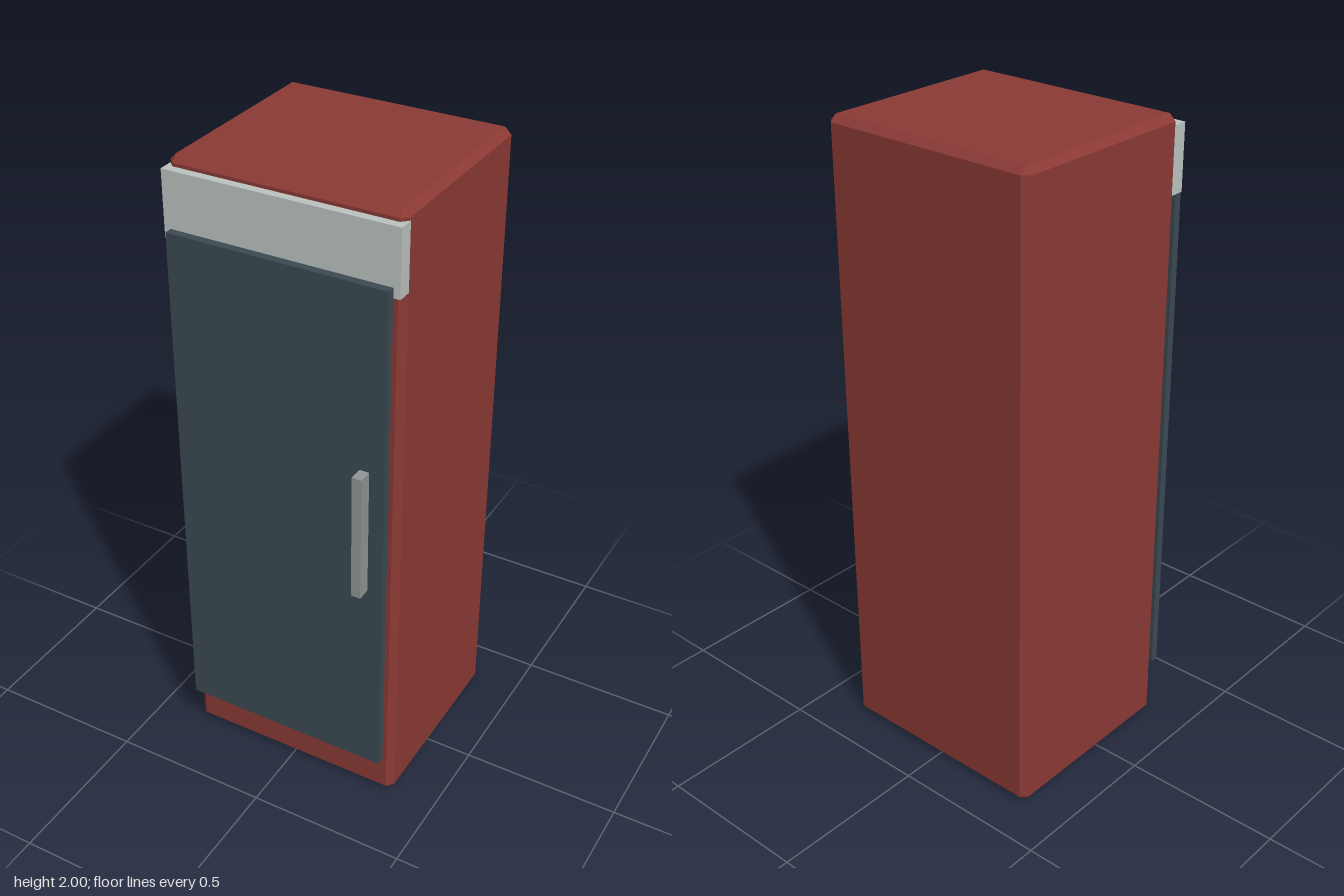
import * as THREE from 'three';
import { ConvexGeometry } from 'three/addons/geometries/ConvexGeometry.js';

const material = (name, color) => {
  const m = new THREE.MeshStandardMaterial({ color });
  m.name = name;
  return m;
};

// Box with every edge cut flat by c and triangular corners
function chamferedBox(w, h, d, c) {
  const points = [];
  for (const sx of [-1, 1]) for (const sy of [-1, 1]) for (const sz of [-1, 1]) {
    const x = w / 2, y = h / 2, z = d / 2;
    points.push(
      new THREE.Vector3(sx * x, sy * (y - c), sz * (z - c)),
      new THREE.Vector3(sx * (x - c), sy * y, sz * (z - c)),
      new THREE.Vector3(sx * (x - c), sy * (y - c), sz * z));
  }
  return new ConvexGeometry(points);
}

export function createModel() {
  const red = material('cabinet red', 0x8c3a35);
  const slate = material('door slate', 0x3c4a53);
  const pale = material('header pale grey', 0xbcc5c2);
  const grey = material('handle grey', 0x909796);

  const model = new THREE.Group();
  model.name = 'refrigerator';

  // Places a part by its extents on each axis
  const add = (name, mat, [x0, x1], [y0, y1], [z0, z1], chamfer = 0) => {
    const size = [x1 - x0, y1 - y0, z1 - z0];
    const geometry = chamfer ? chamferedBox(...size, chamfer) : new THREE.BoxGeometry(...size);
    const mesh = new THREE.Mesh(geometry, mat);
    mesh.name = name;
    mesh.position.set((x0 + x1) / 2, (y0 + y1) / 2, (z0 + z1) / 2);
    model.add(mesh);
  };

  add('cabinet', red, [-0.358, 0.358], [0, 2], [-0.364, 0.27], 0.02);
  // Raised panel behind the door
  add('doorBacking', red, [-0.31, 0.31], [0.21, 1.75], [0.26, 0.284]);
  add('headerPanel', pale, [-0.358, 0.358], [1.77, 1.97], [0.25, 0.296]);
  add('door', slate, [-0.338, 0.338], [0.16, 1.8], [0.296, 0.321]);
  add('handle', grey, [0.26, 0.29], [0.827, 1.235], [0.321, 0.364]);

  return model;
}
